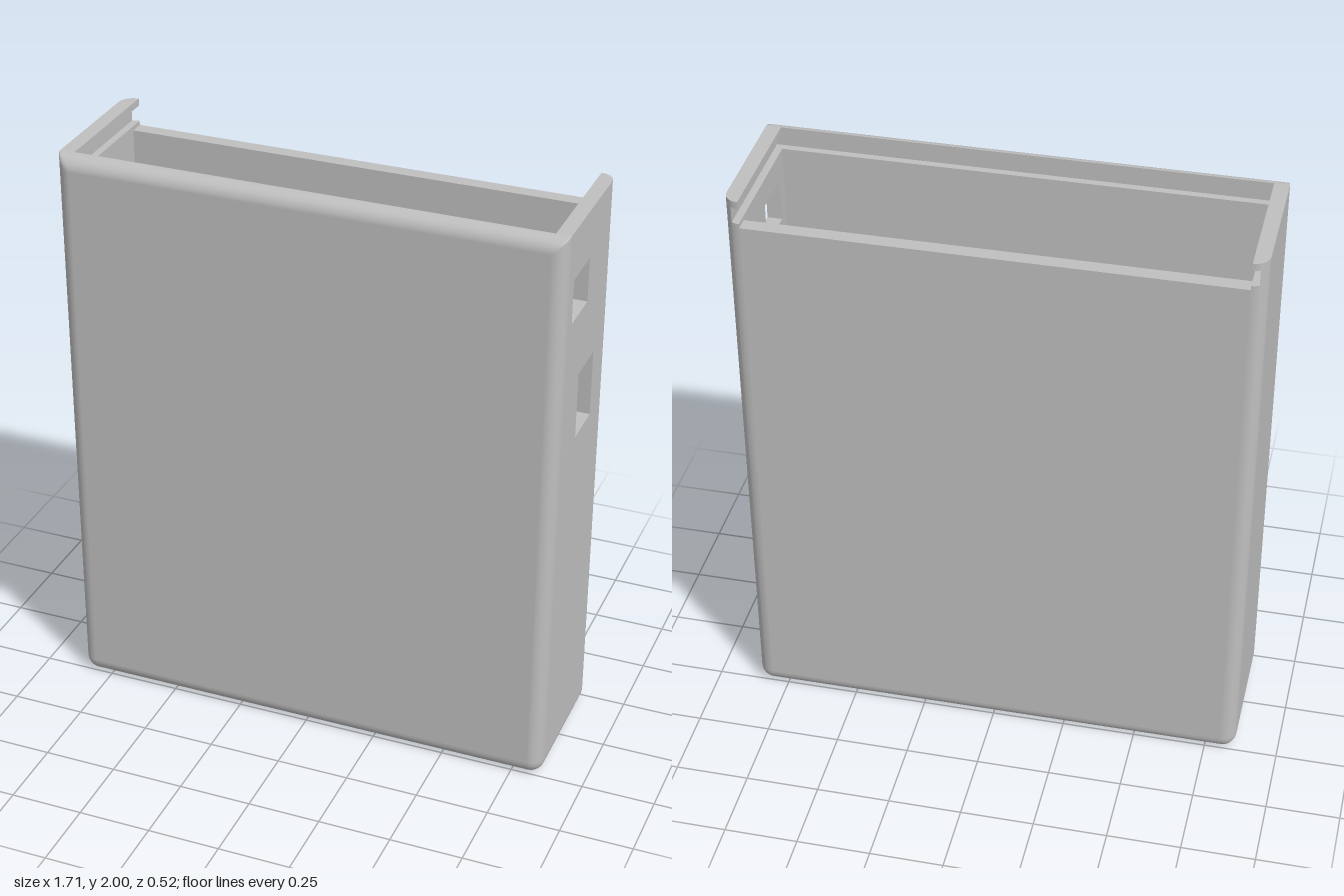
import * as THREE from 'three';

const X = 0.805, Z = 0.212;             // inner half width and half depth
const R = 0.05;                         // wall thickness and outer fillet radius
const H = 2, BACK = 1.905;              // full height, lowered back wall
const G0 = 1.92, G1 = 1.975, GD = R / 2; // lid groove: bottom, top, depth
const N = 9;                            // segments per quarter round

const shell = new THREE.MeshStandardMaterial({ color: 0xbfbfbf, side: THREE.DoubleSide });
shell.name = 'shellGrey';

const steps = (a, b, n = N) => Array.from({ length: n + 1 }, (_, i) => a + ((b - a) * i) / n);
const HALF = Math.PI / 2;

export function createModel() {
  const group = new THREE.Group();
  group.name = 'openCase';

  const add = (name, geometry) => {
    const mesh = new THREE.Mesh(geometry, shell);
    mesh.name = name;
    group.add(mesh);
  };

  // Skin between successive rows of points
  const loft = (name, rows, smooth = true) => {
    const w = rows[0].length, index = [];
    for (let r = 0; r < rows.length - 1; r++) {
      for (let c = 0; c < w - 1; c++) {
        const a = r * w + c, b = a + w;
        index.push(a, b, a + 1, a + 1, b, b + 1);
      }
    }
    let g = new THREE.BufferGeometry();
    g.setAttribute('position', new THREE.Float32BufferAttribute(rows.flat(2), 3));
    g.setIndex(index);
    if (!smooth) g = g.toNonIndexed();
    g.computeVertexNormals();
    add(name, g);
  };

  // Flat rectangle with holes, placed by a mapping from (u, v) to space
  const panel = (name, u0, u1, v0, v1, map, holes = []) => {
    const pts = (list) => list.map(([u, v]) => new THREE.Vector2(u, v));
    const shape = new THREE.Shape(pts([[u0, v0], [u1, v0], [u1, v1], [u0, v1]]));
    holes.forEach((h) => shape.holes.push(new THREE.Path(pts(h))));
    const g = new THREE.ShapeGeometry(shape);
    const p = g.attributes.position;
    for (let i = 0; i < p.count; i++) p.setXYZ(i, ...map(p.getX(i), p.getY(i)));
    g.computeVertexNormals();
    add(name, g);
  };

  // Inner walls of an opening between two planes
  const jamb = (name, outline, mapA, mapB, smooth) => {
    const loop = [...outline, outline[0]];
    loft(name, [mapA, mapB].map((m) => loop.map(([u, v]) => m(u, v))), smooth);
  };

  // Outline of the openings
  const rect = (u0, u1, v0, v1) => [[u0, v0], [u1, v0], [u1, v1], [u0, v1]];
  const ports = [rect(0, 0.165, 1.68, 1.83), rect(-0.105, 0.055, 1.22, 1.45)];
  const sr = 0.087, sz = -0.009;
  const slot = [
    ...steps(-HALF, HALF, 16).map((a) => [0.338 + sr * Math.cos(a), sz + sr * Math.sin(a)]),
    ...steps(HALF, 3 * HALF, 16).map((a) => [0.047 + sr * Math.cos(a), sz + sr * Math.sin(a)]),
  ];

  // Side walls, with two ports on the left
  for (const s of [1, -1]) {
    const side = s > 0 ? 'left' : 'right';
    const outer = (z, y) => [s * (X + R), y, z];
    const inner = (z, y) => [s * X, y, z];
    const holes = s > 0 ? ports : [];
    panel(side + 'WallOuter', -Z, Z, R, H, outer, holes);
    panel(side + 'WallInner', -Z, Z, R, BACK, inner, holes);
    holes.forEach((h) => jamb('sidePort', h, outer, inner, false));

    // Rounded back corner, cut where the groove runs out
    const column = (a0, a1, y0, y1, n) => loft(side + 'BackCorner', [y0, y1].map((y) =>
      steps(a0, a1, n).map((a) => [s * (X + R * Math.cos(a)), y, -Z - R * Math.sin(a)])));
    column(0, HALF * 2 / 3, R, H, 6);
    column(HALF * 2 / 3, HALF, R, G0, 3);
    column(HALF * 2 / 3, HALF, G1, H, 3);

    // Flat top of the side wall
    loft(side + 'WallTop', [
      steps(0, HALF).map((a) => [s * (X + R * Math.cos(a)), H, -Z - R * Math.sin(a)]),
      steps(0, HALF).map((a) => [s * (X + R * Math.cos(a)), H, Z]),
    ]);
  }

  // Front wall, floor and back wall
  panel('frontWallInner', -X, X, R, BACK, (x, y) => [x, y, Z]);
  panel('backWallInner', -X, X, R, BACK, (x, y) => [x, y, -Z]);
  panel('backWallOuter', -X, X, R, BACK, (x, y) => [x, y, -Z - R]);
  panel('backWallTop', -X, X, -Z - R, -Z, (x, z) => [x, BACK, z]);
  const under = (x, z) => [x, 0, z], floor = (x, z) => [x, R, z];
  panel('floorOuter', -X, X, -Z, Z, under, [slot]);
  panel('floorInner', -X, X, -Z, Z, floor, [slot]);
  jamb('bottomSlot', slot, under, floor, true);

  // Front skin with rounded corners; its top fillet mitres into them
  const frontRow = (y, depth) => [
    ...steps(0, HALF).map((a) => [X + R * Math.cos(a), y, Z + Math.min(R * Math.sin(a), depth)]),
    ...steps(HALF, 2 * HALF).map((a) => [-X + R * Math.cos(a), y, Z + Math.min(R * Math.sin(a), depth)]),
  ];
  loft('frontWallOuter', [
    frontRow(R, R),
    ...steps(0, HALF).map((t) => frontRow(H - R + R * Math.sin(t), R * Math.cos(t))),
  ]);

  // Rounded bottom edge all the way round
  const corners = [[1, 1], [-1, 1], [-1, -1], [1, -1]];
  loft('bottomFillet', steps(0, HALF).map((t) => {
    const r = R * Math.cos(t), y = R - R * Math.sin(t);
    const ring = corners.flatMap(([sx, sz2], i) => steps(i * HALF, (i + 1) * HALF)
      .map((a) => [sx * X + r * Math.cos(a), y, sz2 * Z + r * Math.sin(a)]));
    return [...ring, ring[0]];
  }));

  // Lid groove running round both sides and the front, open at the back
  const cut = [0, 1, 2, 3].map((i) => R * Math.sin((i * HALF) / N));
  const profile = [
    [0, BACK],
    ...cut.map((d) => [d, G0]),
    ...cut.slice().reverse().map((d) => [d, G1]),
    [0, H],
  ];
  cut[3] = GD;
  loft('lidGroove', profile.map(([d, y]) => {
    const back = -Z - Math.sqrt(R * R - d * d);
    return [[X + d, y, back], [X + d, y, Z + d], [-X - d, y, Z + d], [-X - d, y, back]];
  }), false);

  return group;
}
